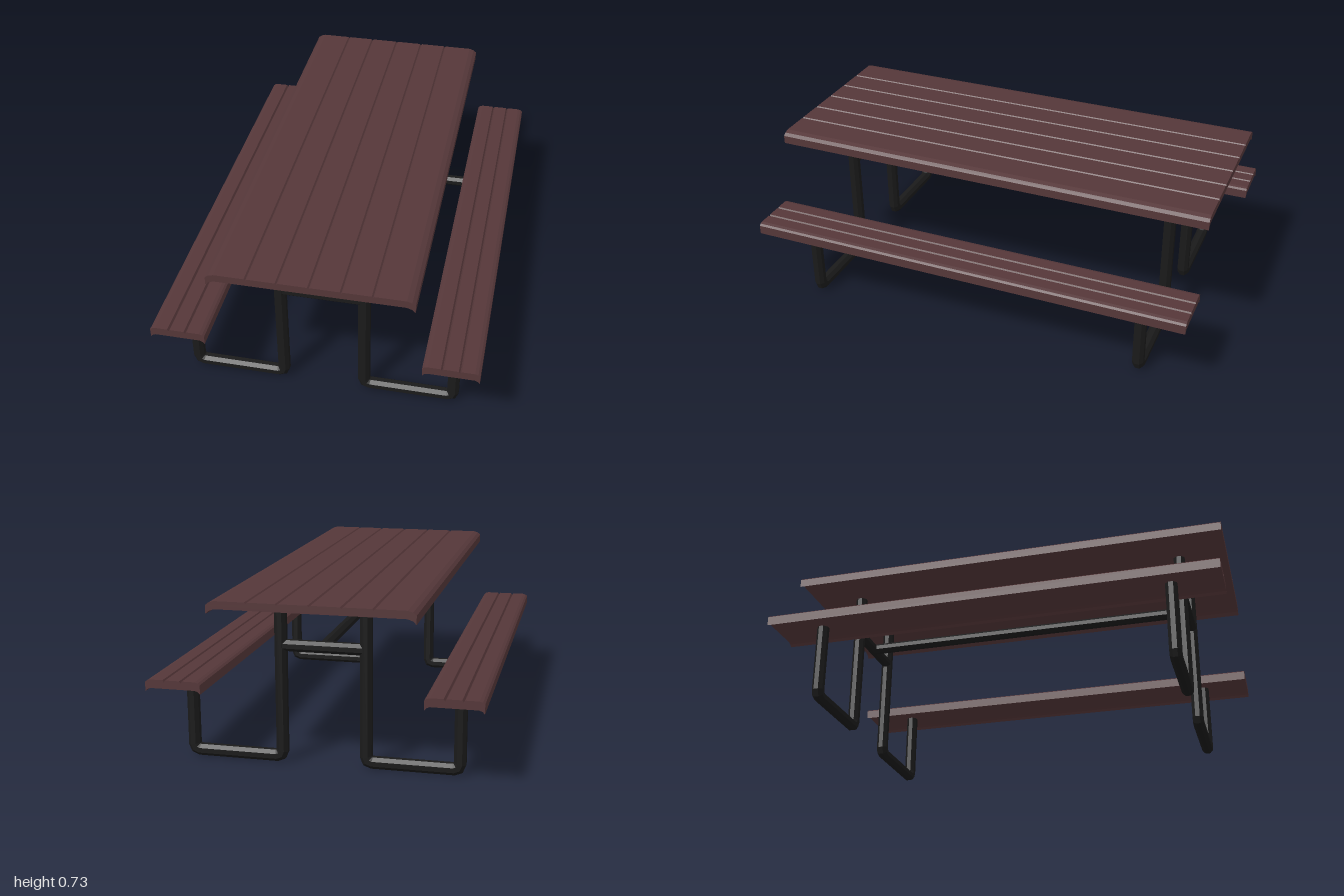
import * as THREE from 'three';

const wood = new THREE.MeshStandardMaterial({ color: 0x553739, flatShading: true });
const metal = new THREE.MeshStandardMaterial({ color: 0x1a1a1a, flatShading: true });

// Slatted board along z: curled lips on both long edges, V grooves in the top
function board(name, { width, top, thick, lipBottom, edge, grooves, grooveDepth }) {
  const h = width / 2, under = top - thick, g = 0.006;
  const s = new THREE.Shape();
  s.moveTo(-h, lipBottom);
  s.lineTo(-h, top - edge * 0.5);
  s.lineTo(-h + edge * 0.4, top - edge * 0.18);
  s.lineTo(-h + edge, top);
  for (const x of grooves) {
    s.lineTo(x - g, top);
    s.lineTo(x, top - grooveDepth);
    s.lineTo(x + g, top);
  }
  s.lineTo(h - edge, top);
  s.lineTo(h - edge * 0.4, top - edge * 0.18);
  s.lineTo(h, top - edge * 0.5);
  s.lineTo(h, lipBottom);
  s.lineTo(h - edge * 0.4, under - (under - lipBottom) * 0.35);
  s.lineTo(h - edge, under);
  s.lineTo(-h + edge, under);
  s.lineTo(-h + edge * 0.4, under - (under - lipBottom) * 0.35);
  s.closePath();
  const geo = new THREE.ExtrudeGeometry(s, { depth: 2, bevelEnabled: false });
  geo.translate(0, 0, -1);
  const mesh = new THREE.Mesh(geo, wood);
  mesh.name = name;
  return mesh;
}

// Octagonal pipe swept with mitred joints along a path in the xy plane
function pipe(name, points, width) {
  const sides = 8, r = width / 2 / Math.cos(Math.PI / sides);
  const path = points.map(([x, y]) => new THREE.Vector2(x, y));
  const last = path.length - 1, pos = [], index = [];
  path.forEach((p, i) => {
    const a = path[Math.min(i + 1, last)].clone().sub(path[Math.min(i, last - 1)]).normalize();
    const b = path[Math.max(i, 1)].clone().sub(path[Math.max(i - 1, 0)]).normalize();
    const t = a.clone().add(b).normalize();
    const miter = r / t.dot(a);
    for (let k = 0; k < sides; k++) {
      const ang = ((k + 0.5) / sides) * Math.PI * 2, c = Math.cos(ang) * miter;
      pos.push(p.x - t.y * c, p.y + t.x * c, Math.sin(ang) * r);
      const n = (k + 1) % sides, o = i * sides;
      if (i < last) index.push(o + k, o + n, o + sides + k, o + n, o + sides + n, o + sides + k);
    }
  });
  // End caps
  for (let k = 1; k < sides - 1; k++) {
    const e = last * sides;
    index.push(0, k + 1, k, e, e + k, e + k + 1);
  }
  const geo = new THREE.BufferGeometry();
  geo.setAttribute('position', new THREE.Float32BufferAttribute(pos, 3));
  geo.setIndex(index);
  geo.computeVertexNormals();
  const mesh = new THREE.Mesh(geo, metal);
  mesh.name = name;
  return mesh;
}

export function createModel() {
  const group = new THREE.Group();
  group.name = 'picnicTable';
  const cx = -0.0025;

  // Table top
  const top = board('tableTop', {
    width: 0.845, top: 0.727, thick: 0.033, lipBottom: 0.673, edge: 0.035,
    grooves: [-0.256, -0.13, 0, 0.13, 0.256], grooveDepth: 0.006,
  });
  top.position.x = cx;
  group.add(top);

  // Bench seats
  for (const side of [-1, 1]) {
    const seat = board(side > 0 ? 'leftSeat' : 'rightSeat', {
      width: 0.235, top: 0.388, thick: 0.036, lipBottom: 0.337, edge: 0.022,
      grooves: [-0.036, 0.036], grooveDepth: 0.009,
    });
    seat.position.x = side * 0.574 - 0.001;
    group.add(seat);
  }

  // U-shaped leg frames at both ends, each with a cross bar
  const inner = 0.18, outer = 0.572, y = 0.025, c = 0.025, m = c * 0.293;
  for (const z of [-0.785, 0.785]) {
    const frame = new THREE.Group();
    frame.name = z > 0 ? 'frontFrame' : 'backFrame';
    frame.position.set(cx, 0, z);
    for (const s of [-1, 1]) {
      frame.add(pipe(s > 0 ? 'leftLeg' : 'rightLeg', [
        [s * inner, 0.7], [s * inner, y + c], [s * (inner + m), y + m], [s * (inner + c), y],
        [s * (outer - c), y], [s * (outer - m), y + m], [s * outer, y + c], [s * outer, 0.36],
      ], 0.05));
    }
    frame.add(pipe('crossBar', [[-inner, 0.507], [inner, 0.507]], 0.047));
    group.add(frame);
  }

  // Long stretcher joining the two cross bars
  const stretcher = pipe('stretcher', [[-0.785, 0], [0.785, 0]], 0.046);
  stretcher.rotation.y = Math.PI / 2;
  stretcher.position.set(cx, 0.507, 0);
  group.add(stretcher);

  return group;
}
